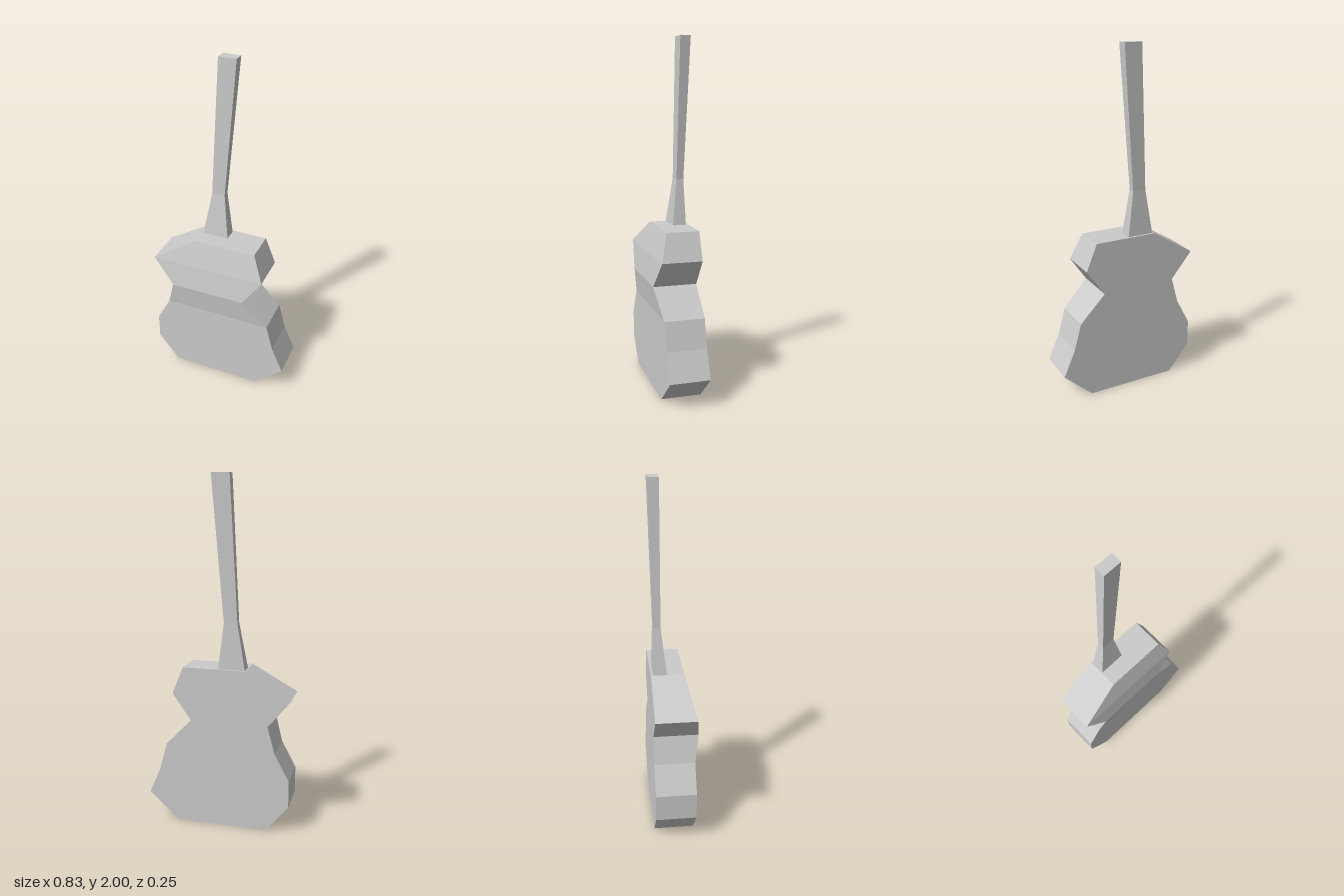
import * as THREE from 'three';

const material = new THREE.MeshStandardMaterial({ color: 0xcccccc, flatShading: true });

// Stacks rectangular sections [y, xMin, xMax, zBack, zFront] from bottom to top
function loft(name, sections) {
  const positions = [];
  const quad = (a, b, c, d) => [a, b, c, a, c, d].forEach((p) => positions.push(...p));
  const rings = sections.map(([y, x0, x1, z0, z1]) => [
    [x0, y, z1], [x1, y, z1], [x1, y, z0], [x0, y, z0],
  ]);
  for (let i = 0; i < rings.length - 1; i++) {
    for (let j = 0; j < 4; j++) {
      const k = (j + 1) % 4;
      quad(rings[i][j], rings[i][k], rings[i + 1][k], rings[i + 1][j]);
    }
  }
  quad(...rings[rings.length - 1]);
  quad(...[...rings[0]].reverse());

  const geometry = new THREE.BufferGeometry();
  geometry.setAttribute('position', new THREE.Float32BufferAttribute(positions, 3));
  geometry.computeVertexNormals();
  const mesh = new THREE.Mesh(geometry, material);
  mesh.name = name;
  return mesh;
}

export function createModel() {
  const group = new THREE.Group();
  group.name = 'guitar';

  // Waisted body: flat back, front swelling at the waist and sloping to the shoulder
  group.add(loft('body', [
    [0, -0.29, 0.245, -0.127, 0.103],
    [0.157, -0.417, 0.417, -0.127, 0.103],
    [0.313, -0.417, 0.35, -0.127, 0.103],
    [0.47, -0.333, 0.308, -0.127, 0.103],
    [0.625, -0.29, 0.157, -0.127, 0.125],
    [0.78, -0.417, 0.266, -0.127, 0.103],
    [0.937, -0.16, 0.203, -0.127, 0.061],
  ]));

  // Leaning neck, flared at its foot and widening toward the head
  group.add(loft('neck', [
    [0.937, -0.155, -0.002, -0.115, -0.037],
    [1.2, -0.11, -0.033, -0.108, -0.067],
    [2, -0.069, 0.033, -0.127, -0.067],
  ]));

  return group;
}
